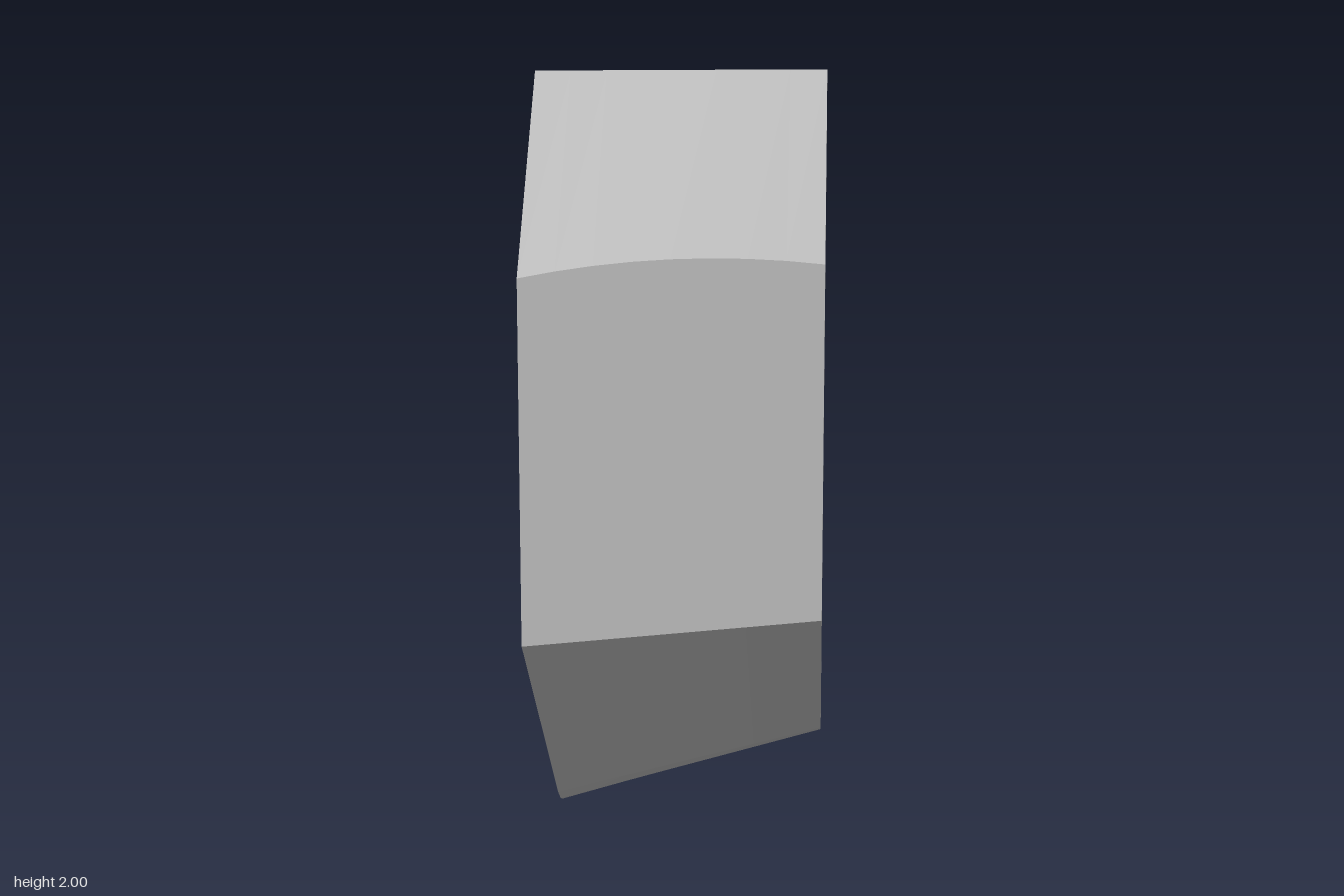
import * as THREE from 'three';

// Matching outlines of the two ends as [z, y], from the top front corner down, under and up the back
const leftOutline = [
  [0.425, 2], [0.73, 1.55], [0.73, 0.715], [0.16, 0.285], [0.1, 0.262], [0.02, 0.245], [-0.13, 0.235],
  [-0.43, 0.245], [-0.55, 0.265], [-0.62, 0.3], [-0.67, 0.36], [-0.69, 0.52], [-0.726, 1.37],
  [-0.725, 1.5], [-0.715, 1.64], [-0.7, 1.73], [-0.67, 1.81], [-0.6, 1.88], [-0.51, 1.92], [-0.035, 2],
];
const rightOutline = [
  [0.4, 2], [0.73, 1.515], [0.73, 0.64], [0.13, 0.08], [0.08, 0.045], [0.04, 0.03], [-0.04, 0.012],
  [-0.34, 0], [-0.5, 0.04], [-0.6, 0.1], [-0.665, 0.21], [-0.69, 0.36], [-0.73, 1.37],
  [-0.727, 1.5], [-0.717, 1.64], [-0.7, 1.73], [-0.67, 1.81], [-0.6, 1.88], [-0.51, 1.92], [-0.08, 2],
];
const HALF_WIDTH = 0.356;
const STEPS = 8;

// Cross-section at u = -1 (right end) to 1 (left end), with the front bevel slightly bowed
function section(u) {
  const t = (u + 1) / 2;
  const bow = 1 - u * u;
  return rightOutline.map(([z, y], i) => {
    const [lz, ly] = leftOutline[i];
    return [
      u * HALF_WIDTH,
      y + (ly - y) * t + (i === 1 ? 0.028 * bow : 0),
      z + (lz - z) * t + (i === 0 ? 0.01 * bow : 0),
    ];
  });
}

function geometryFrom(triangles) {
  const geometry = new THREE.BufferGeometry();
  geometry.setAttribute('position', new THREE.Float32BufferAttribute(triangles.flat(2), 3));
  geometry.computeVertexNormals();
  return geometry;
}

export function createModel() {
  const group = new THREE.Group();
  group.name = 'bevelledBlock';
  const grey = new THREE.MeshStandardMaterial({ color: 0xc0c0c0 });
  grey.name = 'light grey';
  grey.flatShading = true;

  const sections = Array.from({ length: STEPS + 1 }, (_, s) => section((2 * s) / STEPS - 1));
  const count = leftOutline.length;

  // Wrapped side walls
  const wall = [];
  for (let s = 0; s < STEPS; s++) {
    for (let i = 0; i < count; i++) {
      const j = (i + 1) % count;
      const [c, d] = [sections[s][i], sections[s][j]];
      const [a, b] = [sections[s + 1][i], sections[s + 1][j]];
      wall.push([a, c, d], [a, d, b]);
    }
  }

  // Flat end faces
  const leftEnd = [];
  const rightEnd = [];
  for (let i = 1; i < count - 1; i++) {
    const [l, r] = [sections[STEPS], sections[0]];
    leftEnd.push([l[0], l[i], l[i + 1]]);
    rightEnd.push([r[0], r[i + 1], r[i]]);
  }

  for (const [name, triangles] of Object.entries({ wall, leftEnd, rightEnd })) {
    const mesh = new THREE.Mesh(geometryFrom(triangles), grey);
    mesh.name = name;
    group.add(mesh);
  }
  return group;
}
